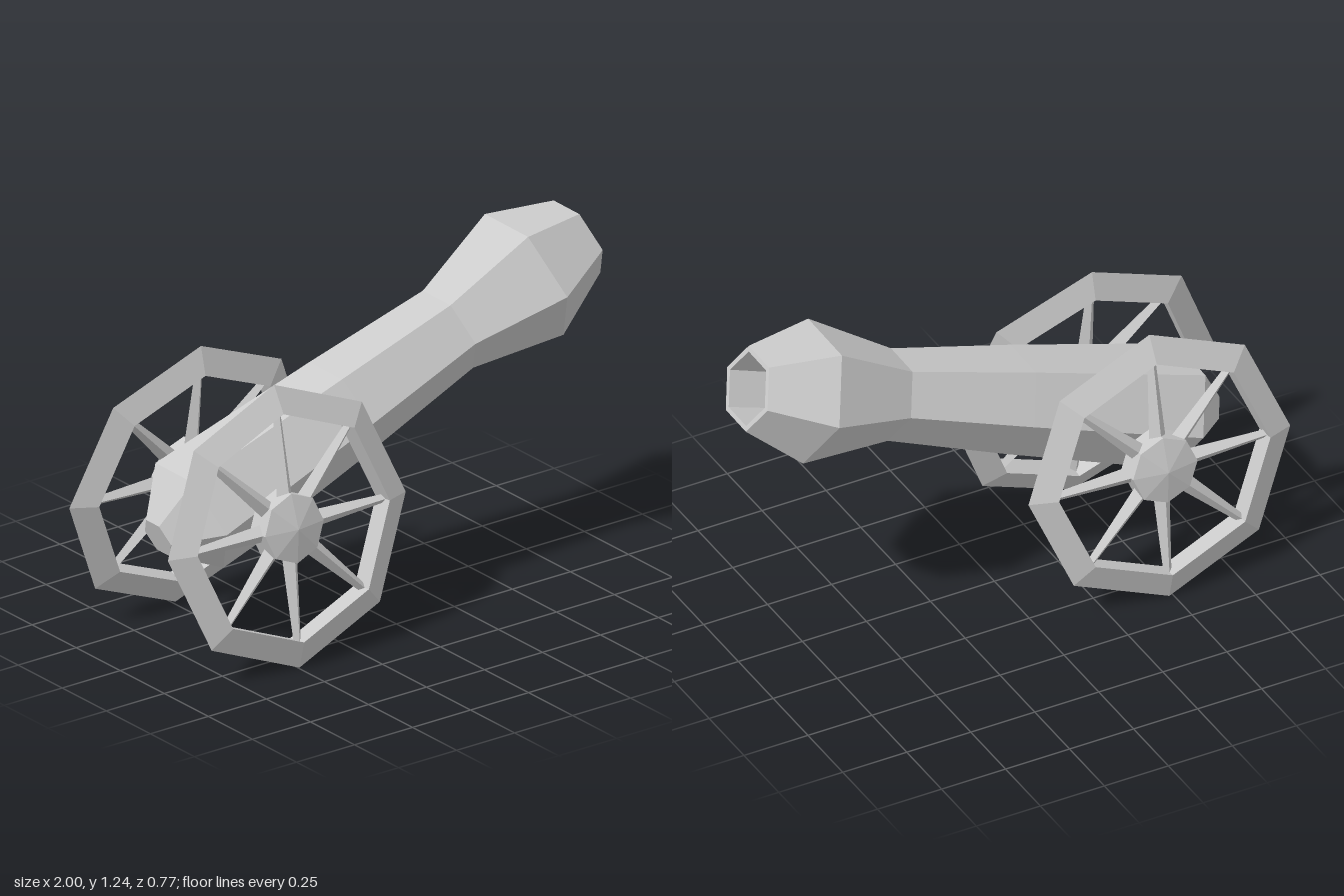
import * as THREE from 'three';

const material = new THREE.MeshStandardMaterial({ color: 0xcccccc, flatShading: true });

// Faceted turned part from [radius, height] pairs
function turned(name, profile, sides) {
  const points = profile.map(([r, h]) => new THREE.Vector2(r, h));
  const mesh = new THREE.Mesh(new THREE.LatheGeometry(points, sides), material);
  mesh.name = name;
  return mesh;
}

// Octagonal wheel around the z axis: wedge-shaped rim, pointed hub, tapered spokes
function createWheel(name) {
  const wheel = new THREE.Group();
  wheel.name = name;

  const rim = turned('rim', [[0.41, -0.041], [0.508, 0], [0.41, 0.041], [0.41, -0.041]], 8);
  const hub = turned('hub', [[0, -0.07], [0.125, -0.045], [0.125, 0.045], [0, 0.07]], 8);
  rim.rotation.x = hub.rotation.x = Math.PI / 2;
  wheel.add(rim, hub);

  const spokeGeometry = new THREE.CylinderGeometry(0.015, 0.033, 0.34, 4);
  spokeGeometry.translate(0, 0.25, 0);
  for (let i = 0; i < 8; i++) {
    const spoke = new THREE.Mesh(spokeGeometry, material);
    spoke.name = 'spoke';
    spoke.rotation.z = (i * Math.PI) / 4;
    wheel.add(spoke);
  }
  return wheel;
}

export function createModel() {
  const model = new THREE.Group();
  model.name = 'cannon';

  // Hexagonal barrel with flared muzzle and hollow bore, raised about 20 degrees
  const barrel = turned('barrel', [
    [0, -0.891], [0.075, -0.891], [0.216, -0.747], [0.188, -0.064],
    [0.159, 0.432], [0.249, 0.779], [0.148, 1.02],
    [0.128, 1.02], [0.11, 0.38], [0, 0.38],
  ], 6);
  barrel.position.set(0, 0.765, 0.006);
  barrel.rotation.z = THREE.MathUtils.degToRad(20.5 - 90);
  model.add(barrel);

  // Wheels leaning inward at the top
  for (const side of [1, -1]) {
    const wheel = createWheel(side > 0 ? 'frontWheel' : 'backWheel');
    wheel.position.set(-0.49, 0.505, side * 0.284);
    wheel.rotation.x = -side * 0.145;
    model.add(wheel);
  }

  // Slight turn of the whole piece
  model.rotation.y = -0.012;
  return model;
}
